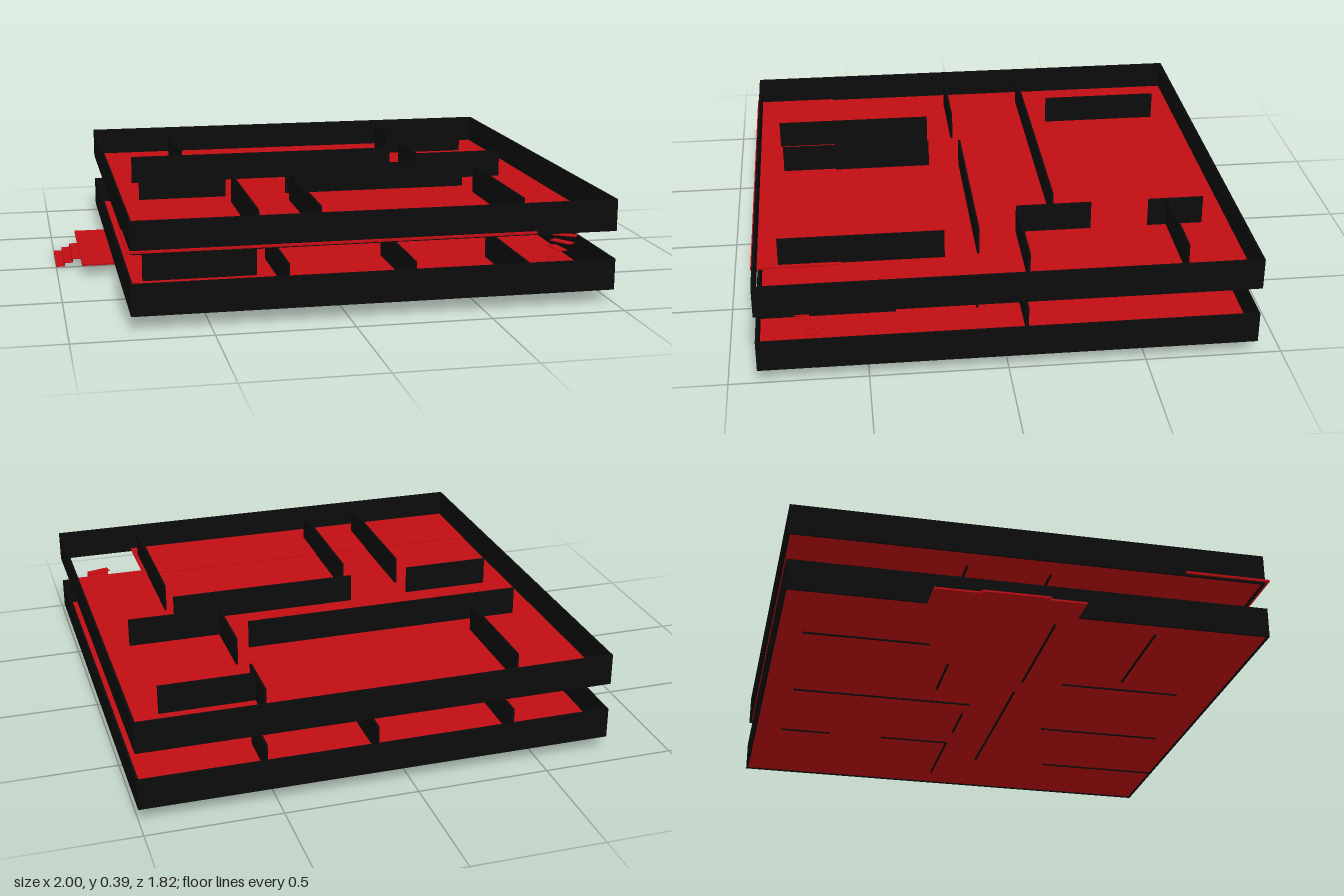
import * as THREE from 'three';

const red = new THREE.MeshStandardMaterial({ color: 0xc00d12 });
const black = new THREE.MeshStandardMaterial({ color: 0x0b0b0b });
const T = 0.008; // wall thickness

// Box given by its minimum and maximum on each axis
function slab(name, mat, x0, x1, y0, y1, z0, z1) {
  const mesh = new THREE.Mesh(new THREE.BoxGeometry(x1 - x0, y1 - y0, z1 - z0), mat);
  mesh.position.set((x0 + x1) / 2, (y0 + y1) / 2, (z0 + z1) / 2);
  mesh.name = name;
  return mesh;
}

// Outer walls plus partitions; 'x' runs along x at a fixed z, 'z' runs along z at a fixed x
function walls(name, y0, y1, partitions) {
  const group = new THREE.Group();
  group.name = name;
  group.add(
    slab('leftWall', black, 1 - T, 1, y0, y1, -0.905, 0.895),
    slab('rightWall', black, -0.78, -0.78 + T, y0, y1, -0.905, 0.895),
    slab('backWall', black, -0.78, 1, y0, y1, -0.91, -0.91 + T),
    slab('frontWall', black, -0.78, 1, y0, y1, 0.895 - T, 0.895)
  );
  for (const [axis, at, from, to] of partitions) {
    group.add(axis === 'x'
      ? slab('partition', black, from, to, y0, y1, at - T / 2, at + T / 2)
      : slab('partition', black, at - T / 2, at + T / 2, y0, y1, from, to));
  }
  return group;
}

export function createModel() {
  const model = new THREE.Group();
  model.name = 'house';

  // Ground storey
  model.add(slab('groundFloor', red, -0.776, 0.996, 0.054, 0.06, -0.905, 0.892));
  model.add(walls('groundWalls', 0.05, 0.168, [
    ['z', -0.44, -0.81, -0.33],
    ['z', 0.085, -0.79, -0.07],
    ['z', 0.51, -0.8, -0.59],
    ['z', 0.51, -0.37, -0.085],
    ['x', -0.085, 0.51, 0.87],
    ['x', -0.08, 0.185, 0.39],
    ['x', -0.23, -0.28, -0.035],
    ['x', 0.08, -0.08, 0.68],
    ['x', 0.09, -0.7, -0.18],
    ['x', 0.475, -0.7, -0.265],
    ['z', -0.19, 0.25, 0.73],
    ['z', 0.27, 0.28, 0.79],
    ['z', 0.67, 0.385, 0.89]
  ]));

  // Upper storey, with its front left corner open for the stairs
  model.add(slab('upperFloor', red, -0.776, 0.996, 0.278, 0.283, -0.905, 0.635));
  model.add(slab('upperFrontFloor', red, -0.79, 0.69, 0.28, 0.287, 0.58, 0.91));
  model.add(walls('upperWalls', 0.273, 0.392, [
    ['z', -0.45, -0.8, -0.335],
    ['x', -0.235, -0.67, 0.43],
    ['x', 0.085, -0.67, -0.325],
    ['x', 0.075, -0.08, 0.66],
    ['z', -0.315, 0.19, 0.805],
    ['z', -0.085, 0.2, 0.79],
    ['z', 0.67, 0.2, 0.81],
    ['z', 0.51, -0.8, -0.59],
    ['x', -0.665, 0.51, 0.87],
    ['z', 0.51, -0.37, -0.087],
    ['x', -0.087, 0.51, 0.87]
  ]));

  // Porch and its entrance steps
  model.add(slab('porch', red, -0.905, -0.776, 0.043, 0.05, -0.4, 0.155));
  const steps = new THREE.Group();
  steps.name = 'entranceSteps';
  for (let i = 0; i < 3; i++) {
    const x = -1 + i * 0.032, y = 0.003 + i * 0.014;
    steps.add(slab('tread', red, x, x + 0.034, y, y + 0.004, -0.245, 0));
    steps.add(slab('riser', red, x, x + 0.003, Math.max(0, y - 0.012), y, -0.245, 0));
  }
  model.add(steps);

  // Spiral stairs: thin treads turning around a common centre
  const stairs = new THREE.Group();
  stairs.name = 'spiralStairs';
  stairs.position.set(0.81, 0, 0.72);
  for (let i = 0; i < 11; i++) {
    const pivot = new THREE.Group();
    pivot.name = 'spiralTread';
    pivot.add(slab('tread', red, 0.012, 0.1, -0.002, 0.002, -0.016, 0.016));
    pivot.position.y = 0.062 + i * 0.021;
    pivot.rotation.y = -THREE.MathUtils.degToRad(225 - i * 24);
    stairs.add(pivot);
  }
  model.add(stairs);

  return model;
}
